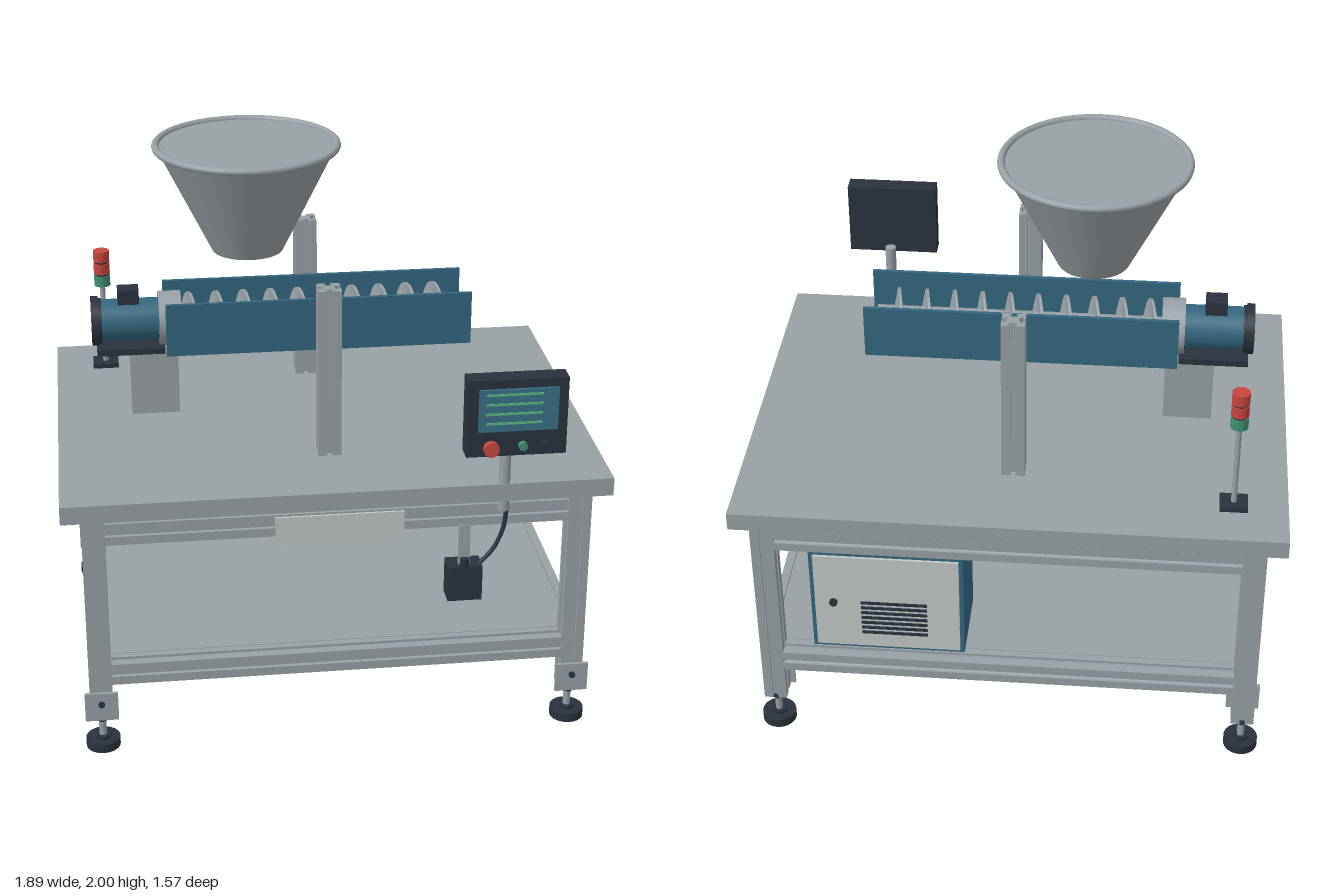
import * as THREE from 'three';

const mat = (name, color) => {
  const m = new THREE.MeshStandardMaterial({ color });
  m.name = name;
  return m;
};

export function createModel() {
  const metal = mat('brushed metal', 0x98a0a5);
  const blue = mat('painted blue', 0x34677f);
  const dark = mat('dark plastic', 0x2b323d);
  const pale = mat('pale panel', 0xc2c8c6);
  const red = mat('signal red', 0xc8463e);
  const green = mat('signal green', 0x3f9273);
  const screenBlue = mat('screen blue', 0x3a7189);
  const lineGreen = mat('display green', 0x5cba85);

  const root = new THREE.Group();
  root.name = 'augerFeederBench';
  const CZ = -0.083; // shared centre line of bench and feeder

  const add = (name, geo, m, x = 0, y = 0, z = 0, parent = root) => {
    const mesh = new THREE.Mesh(geo, m);
    mesh.name = name;
    mesh.position.set(x, y, z);
    parent.add(mesh);
    return mesh;
  };
  // Box given by its low and high bounds on each axis
  const box = (name, m, [x0, x1], [y0, y1], [z0, z1], parent) =>
    add(name, new THREE.BoxGeometry(x1 - x0, y1 - y0, z1 - z0), m,
      (x0 + x1) / 2, (y0 + y1) / 2, (z0 + z1) / 2, parent);
  // Cylinder along an axis
  const rod = (name, m, r, h, axis, x, y, z, parent, sides = 32) => {
    const g = new THREE.CylinderGeometry(r, r, h, sides);
    if (axis === 'x') g.rotateZ(Math.PI / 2);
    if (axis === 'z') g.rotateX(Math.PI / 2);
    return add(name, g, m, x, y, z, parent);
  };
  const group = (name) => {
    const g = new THREE.Group();
    g.name = name;
    root.add(g);
    return g;
  };

  // T-slot extrusion: one side's slot outline repeated around the square
  const side = [[-0.04, -0.04], [-0.009, -0.04], [-0.009, -0.031], [-0.018, -0.031],
    [-0.012, -0.02], [0.012, -0.02], [0.018, -0.031], [0.009, -0.031], [0.009, -0.04]];
  const outline = [];
  for (let k = 0; k < 4; k++) {
    const c = [1, 0, -1, 0][k], s = [0, 1, 0, -1][k];
    side.forEach(([x, y]) => outline.push(new THREE.Vector2(c * x - s * y, s * x + c * y)));
  }
  const slotted = (name, len, axis, x, y, z, parent) => {
    const g = new THREE.ExtrudeGeometry(new THREE.Shape(outline), { depth: len, bevelEnabled: false });
    g.translate(0, 0, -len / 2);
    if (axis === 'x') g.rotateY(Math.PI / 2);
    if (axis === 'y') g.rotateX(Math.PI / 2);
    return add(name, g, metal, x, y, z, parent);
  };

  // Bench frame
  const bench = group('bench');
  box('tableTop', metal, [-0.943, 0.943], [0.908, 0.973], [CZ - 0.699, CZ + 0.699], bench);
  box('lowerShelf', metal, [-0.8, 0.8], [0.332, 0.347], [CZ - 0.605, CZ + 0.605], bench);
  for (const sx of [-1, 1]) {
    for (const y of [0.305, 0.852]) slotted('sideRail', 1.2, 'z', sx * 0.835, y, CZ, bench);
    for (const sz of [-1, 1]) {
      const x = sx * 0.835, z = CZ + sz * 0.64;
      slotted('leg', 0.78, 'y', x, 0.518, z, bench);
      box('footBracket', metal, [x - 0.058, x + 0.058], [0.13, 0.238], [z + 0.04, z + 0.052], bench);
      rod('bracketBolt', dark, 0.011, 0.012, 'z', x, 0.197, z + 0.056, bench, 12);
      rod('footStem', metal, 0.013, 0.11, 'y', x, 0.08, z, bench, 16);
      rod('footNut', dark, 0.024, 0.014, 'y', x, 0.112, z, bench, 6);
      rod('footPad', dark, 0.06, 0.033, 'y', x, 0.0165, z, bench);
      rod('footHub', dark, 0.028, 0.014, 'y', x, 0.037, z, bench, 20);
    }
  }
  for (const sz of [-1, 1]) {
    for (const y of [0.305, 0.852]) slotted('longRail', 1.59, 'x', 0, y, CZ + sz * 0.64, bench);
    slotted('uprightPost', 0.613, 'y', 0, 1.279, CZ + sz * 0.365, bench);
  }
  box('namePlate', pale, [-0.221, 0.221], [0.78, 0.886], [0.598, 0.606], bench);

  // Hopper with rolled rim
  const hopper = group('hopper');
  add('hopperCone', new THREE.CylinderGeometry(0.312, 0.125, 0.38, 48), metal, -0.244, 1.797, CZ, hopper);
  const rim = new THREE.TorusGeometry(0.315, 0.013, 12, 64).rotateX(Math.PI / 2);
  add('hopperRim', rim, metal, -0.244, 1.987, CZ, hopper);

  // Auger trough: side plates, shaft and spiral flight
  const AY = 1.356;
  const auger = group('augerTrough');
  for (const s of [-1, 1]) {
    const z = CZ + s * 0.123;
    box('troughPlate', blue, [-0.546, 0.541], [1.26, 1.452], [z - 0.007, z + 0.007], auger);
  }
  rod('augerShaft', metal, 0.028, 1.03, 'x', -0.005, AY, CZ, auger, 24);
  const pos = [], idx = [], turns = 10, steps = 32 * turns, pitch = 0.098;
  const section = [[0.02, -0.005], [0.09, -0.005], [0.09, 0.005], [0.02, 0.005]];
  // each side gets its own pair of vertices so edges stay sharp
  for (let i = 0; i <= steps; i++) {
    const t = (i / steps) * turns, a = t * Math.PI * 2 + Math.PI / 2;
    for (let k = 0; k < 4; k++) {
      for (const [r, dx] of [section[k], section[(k + 1) % 4]]) {
        pos.push(-0.526 + t * pitch + dx, Math.cos(a) * r, Math.sin(a) * r);
      }
      if (i < steps) {
        const p = i * 8 + k * 2, q = p + 8;
        idx.push(p, p + 1, q, p + 1, q + 1, q);
      }
    }
  }
  for (const b of [0, steps * 8]) {
    if (b) idx.push(b, b + 2, b + 4, b, b + 4, b + 6);
    else idx.push(b, b + 4, b + 2, b, b + 6, b + 4);
  }
  // orient the faces outward: the first side must look toward -x
  const flight = new THREE.BufferGeometry();
  flight.setAttribute('position', new THREE.Float32BufferAttribute(pos, 3));
  flight.setIndex(idx);
  flight.computeVertexNormals();
  if (flight.attributes.normal.getX(8 * 16) > 0) {
    flight.setIndex(idx.reverse());
    flight.computeVertexNormals();
  }
  add('augerFlight', flight, metal, 0, AY, CZ, auger);

  // Drive motor on its support
  const motor = group('driveMotor');
  rod('gearFlange', metal, 0.097, 0.08, 'x', -0.527, AY, CZ, motor, 40);
  rod('motorBody', blue, 0.076, 0.21, 'x', -0.67, AY, CZ, motor, 40);
  rod('fanCover', dark, 0.088, 0.026, 'x', -0.793, AY, CZ, motor, 40);
  rod('fanCoverCollar', dark, 0.081, 0.012, 'x', -0.775, AY, CZ, motor, 40);
  box('terminalBox', dark, [-0.71, -0.635], [1.41, 1.476], [CZ - 0.034, CZ + 0.034], motor);
  box('motorBase', dark, [-0.79, -0.55], [1.256, 1.278], [CZ - 0.093, CZ + 0.093], motor);
  box('motorSupport', metal, [-0.674, -0.504], [1.022, 1.258], [CZ - 0.08, CZ + 0.08], motor);

  // Stack light
  const beacon = group('stackLight');
  const bx = -0.757, bz = -0.59;
  box('beaconBase', dark, [bx - 0.048, bx + 0.048], [0.973, 0.99], [bz - 0.042, bz + 0.042], beacon);
  rod('beaconPole', metal, 0.01, 0.32, 'y', bx, 1.145, bz, beacon, 16);
  rod('beaconCore', dark, 0.026, 0.134, 'y', bx, 1.367, bz, beacon);
  [green, red, red].forEach((m, i) => rod('beaconLamp', m, 0.03, 0.041, 'y', bx, 1.32 + i * 0.0485, bz, beacon));

  // Control panel on its post
  const panel = group('controlPanel');
  rod('panelPost', metal, 0.02, 0.31, 'y', 0.564, 1.06, 0.595, panel, 24);
  rod('postCollar', metal, 0.021, 0.04, 'y', 0.564, 0.889, 0.595, panel, 24);
  box('panelHousing', dark, [0.398, 0.733], [1.146, 1.419], [0.682, 0.75], panel);
  box('screen', screenBlue, [0.435, 0.7], [1.238, 1.388], [0.75, 0.759], panel);
  for (let i = 0; i < 4; i++) {
    const y = 1.37 - i * 0.034;
    box('displayLine', lineGreen, [0.458, 0.646], [y - 0.004, y + 0.004], [0.758, 0.761], panel);
  }
  rod('stopButtonCollar', dark, 0.02, 0.016, 'z', 0.477, 1.183, 0.757, panel);
  rod('stopButton', red, 0.026, 0.02, 'z', 0.477, 1.183, 0.773, panel);
  rod('startButton', green, 0.015, 0.018, 'z', 0.586, 1.183, 0.758, panel, 24);
  rod('selectorButton', dark, 0.014, 0.018, 'z', 0.661, 1.183, 0.758, panel, 24);

  // Hanging switch box with cable
  const switchBox = group('switchBox');
  box('boxHanger', metal, [0.412, 0.452], [0.66, 0.815], [0.592, 0.602], switchBox);
  box('boxBody', dark, [0.374, 0.494], [0.535, 0.665], [0.545, 0.625], switchBox);
  rod('boxGland', dark, 0.016, 0.03, 'y', 0.432, 0.678, 0.61, switchBox, 16);
  const path = new THREE.CatmullRomCurve3([[0.574, 0.875], [0.565, 0.8], [0.535, 0.725], [0.485, 0.665]]
    .map(([x, y]) => new THREE.Vector3(x, y, 0.602)));
  add('cable', new THREE.TubeGeometry(path, 24, 0.008, 8), dark, 0, 0, 0, switchBox);

  // Electrical cabinet with rear door
  const cabinet = group('cabinet');
  box('cabinetBody', blue, [0.148, 0.68], [0.39, 0.812], [-0.757, -0.475], cabinet);
  box('cabinetDoor', pale, [0.163, 0.665], [0.405, 0.797], [-0.766, -0.757], cabinet);
  rod('doorLock', dark, 0.014, 0.014, 'z', 0.6, 0.6, -0.77, cabinet, 20);
  for (let i = 0; i < 7; i++) {
    const y = 0.47 + i * 0.022;
    box('ventSlot', dark, [0.275, 0.505], [y - 0.005, y + 0.005], [-0.771, -0.766], cabinet);
  }

  return root;
}
